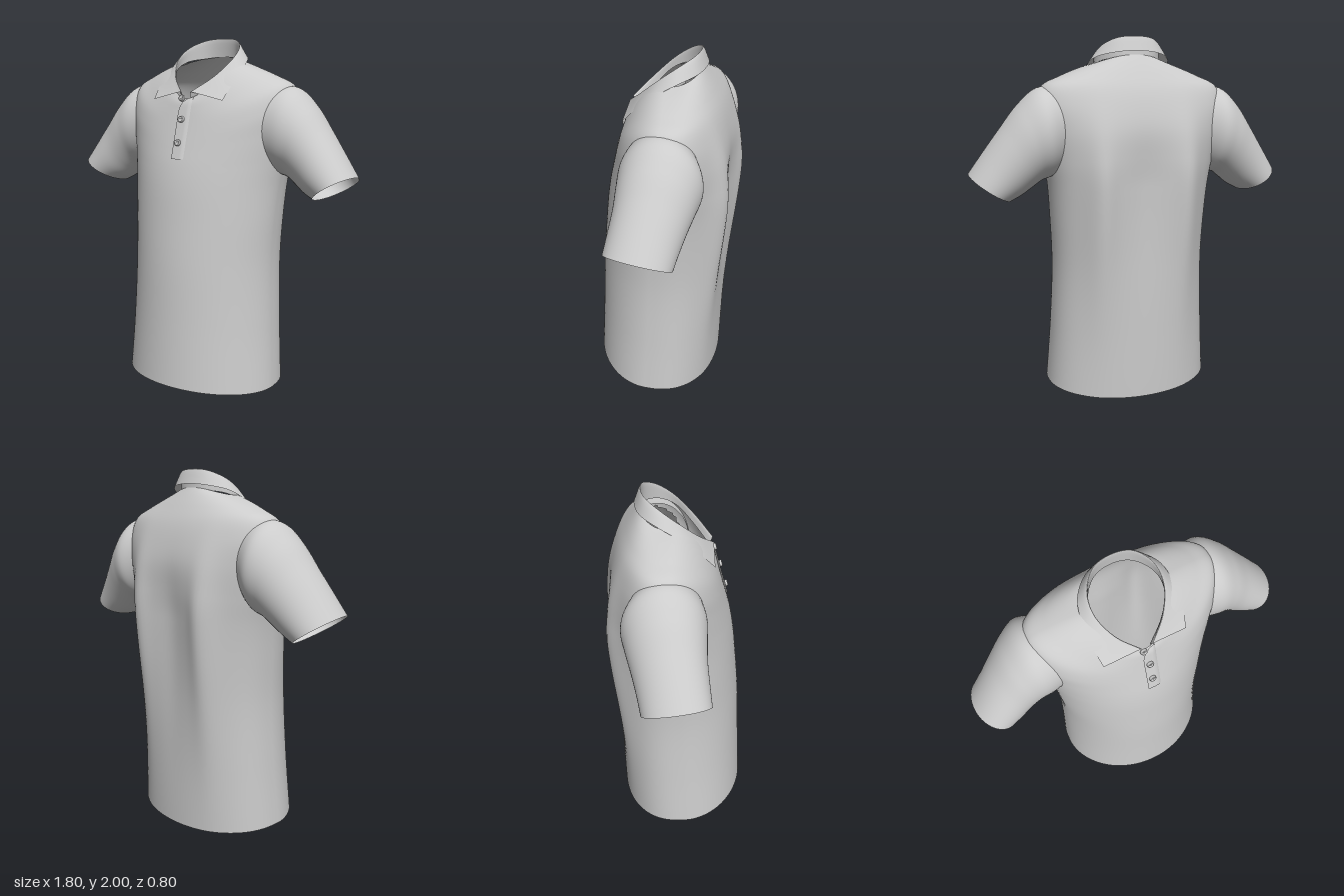
import * as THREE from 'three';

const cloth = new THREE.MeshStandardMaterial({ color: 0xcccccc, side: THREE.DoubleSide, roughness: 0.9 });
const V = (x, y, z) => new THREE.Vector3(x, y, z);
const bell = (d, w) => Math.exp(-(d * d) / (w * w));

// Smooth surface through rows of points; skip(centre) leaves out quads.
function loft(name, rows, closed, skip) {
  const n = rows[0].length, index = [];
  for (let i = 0; i < rows.length - 1; i++) {
    for (let j = 0; j < (closed ? n : n - 1); j++) {
      const k = (j + 1) % n;
      const centre = rows[i][j].clone().add(rows[i + 1][k]).multiplyScalar(0.5);
      if (skip && skip(centre)) continue;
      const a = i * n + j, b = i * n + k, c = b + n, d = a + n;
      index.push(a, b, c, a, c, d);
    }
  }
  const geo = new THREE.BufferGeometry().setFromPoints(rows.flat());
  geo.setIndex(index);
  geo.computeVertexNormals();
  const mesh = new THREE.Mesh(geo, cloth);
  mesh.name = name;
  return mesh;
}

// Torso rings, hem to neck: front y, z | side half width, y, z | back y, z
const RINGS = [
  [0.06, 0.405, 0.48, 0.03, 0.02, 0, -0.345],
  [0.4, 0.385, 0.455, 0.38, 0, 0.37, -0.355],
  [0.75, 0.365, 0.44, 0.74, -0.01, 0.74, -0.372],
  [1.0, 0.34, 0.45, 1.0, -0.02, 1.0, -0.385],
  [1.18, 0.318, 0.465, 1.19, -0.04, 1.2, -0.392],
  [1.3, 0.295, 0.487, 1.33, -0.06, 1.36, -0.392],
  [1.4, 0.268, 0.515, 1.5, -0.08, 1.5, -0.38],
  [1.48, 0.245, 0.53, 1.64, -0.09, 1.62, -0.348],
  [1.54, 0.228, 0.5, 1.735, -0.09, 1.72, -0.31],
  [1.6, 0.212, 0.4, 1.787, -0.08, 1.8, -0.265],
  [1.64, 0.2, 0.29, 1.83, -0.06, 1.86, -0.225],
  [1.665, 0.185, 0.195, 1.86, -0.04, 1.9, -0.195],
];
const front = new THREE.CatmullRomCurve3(RINGS.map(r => V(0, r[0], r[1])));
const side = new THREE.CatmullRomCurve3(RINGS.map(r => V(r[2], r[3], r[4])));
const back = new THREE.CatmullRomCurve3(RINGS.map(r => V(0, r[5], r[6])));

// Point on the torso: u from hem to neck, t the angle from the front towards +x.
function torsoPoint(u, t) {
  const s = side.getPoint(u), c = Math.cos(t);
  const end = (c >= 0 ? front : back).getPoint(u);
  const x = s.x * Math.sin(t);
  const y = THREE.MathUtils.lerp(end.y, s.y, Math.sin(t) ** 2);
  let z = s.z + (end.z - s.z) * Math.abs(c) ** (c >= 0 ? 1.08 : 0.78);
  // Draped folds: two ridges and a centre hollow on the back
  if (c < 0) {
    const drape = bell(y - 1.2, y > 1.2 ? 0.3 : 0.65);
    z += drape * (0.045 * bell(x, 0.13) - 0.045 * bell(Math.abs(x) - 0.25, 0.08));
  }
  return V(x, y, z);
}

function torso() {
  const rows = [];
  for (let i = 0; i <= 88; i++) {
    const row = [];
    for (let j = 0; j < 112; j++) row.push(torsoPoint(i / 88, j / 112 * Math.PI * 2));
    rows.push(row);
  }
  const armhole = p => Math.abs(p.x) > 0.3 && ((p.y - 1.48) / 0.18) ** 2 + ((p.z + 0.09) / 0.15) ** 2 < 1;
  return loft('torso', rows, true, armhole);
}

// Sleeve rings, shoulder to cuff: top x, y | bottom x, y | front z, back z
const SLEEVE = [
  [0.4, 1.735, 0.41, 1.28, 0.1, -0.27],
  [0.53, 1.725, 0.47, 1.25, 0.112, -0.315],
  [0.635, 1.635, 0.515, 1.235, 0.105, -0.3],
  [0.73, 1.51, 0.565, 1.2, 0.1, -0.275],
  [0.82, 1.385, 0.62, 1.16, 0.105, -0.252],
  [0.9, 1.27, 0.68, 1.13, 0.11, -0.235],
];
function sleeve(name, s) {
  const top = new THREE.CatmullRomCurve3(SLEEVE.map(r => V(r[0], r[1], r[4])));
  const bottom = new THREE.CatmullRomCurve3(SLEEVE.map(r => V(r[2], r[3], r[5])));
  const rows = [];
  for (let i = 0; i <= 36; i++) {
    const u = i / 36, T = top.getPoint(u), B = bottom.getPoint(u), row = [];
    for (let j = 0; j < 64; j++) {
      const a = s * j / 64 * Math.PI * 2, k = 0.5 + 0.5 * Math.cos(a), w = Math.sin(a);
      const z = (T.z + B.z) / 2 + w * (T.z - B.z) / 2;
      row.push(V(s * (B.x + (T.x - B.x) * k), B.y + (T.y - B.y) * k + 0.02 * u * w, z));
    }
    rows.push(row);
  }
  return loft(name, rows, true);
}

// Collar edges, centre back to left front; mirrored for the right half
const STAND = [[0, 1.895, -0.192], [0.1, 1.885, -0.17], [0.175, 1.865, -0.08], [0.185, 1.82, 0.01], [0.125, 1.735, 0.1], [0.025, 1.66, 0.175]];
const FOLD = [[0, 1.998, -0.185], [0.1, 1.988, -0.165], [0.17, 1.945, -0.09], [0.183, 1.88, 0], [0.13, 1.785, 0.105], [0.03, 1.7, 0.192]];
const LEAF = [[0, 1.92, -0.22], [0.125, 1.91, -0.195], [0.215, 1.882, -0.11], [0.243, 1.825, -0.005], [0.243, 1.745, 0.095], [0.228, 1.658, 0.178]];
function collar() {
  const edges = [STAND, FOLD, LEAF].map(e => new THREE.CatmullRomCurve3([
    ...e.slice(1).reverse().map(p => V(-p[0], p[1], p[2])), ...e.map(p => V(...p)),
  ]));
  const rows = [];
  for (let i = 0; i <= 80; i++) {
    const [a, b, c] = edges.map(e => e.getPoint(i / 80));
    const rim = b.clone().lerp(c, 0.12);
    rim.y = b.y - 0.003;
    rows.push(new THREE.CatmullRomCurve3([a, b, rim, c]).getPoints(15));
  }
  return loft('collar', rows, false);
}

// Overlapping button strip down the chest
function placket() {
  const rows = [];
  for (let i = 0; i <= 24; i++) {
    const u = THREE.MathUtils.lerp(5.4, 11, i / 24) / 11, row = [];
    const bend = 0.045 * Math.max(0, (i - 14) / 10) ** 2;
    for (let j = 0; j <= 6; j++) {
      const x = -0.03 + 0.075 * j / 6 + bend * (1 - j / 6);
      const p = torsoPoint(u, Math.asin(x / side.getPoint(u).x));
      p.z += j === 6 ? 0 : 0.007;
      row.push(p);
    }
    rows.push(row);
  }
  return loft('placket', rows, false);
}

// Round button with a raised rim and four holes
function button(x, y, z) {
  const g = new THREE.Group();
  g.name = 'button';
  const profile = [[0, 0.005], [0.01, 0.005], [0.012, 0.008], [0.016, 0.008], [0.018, 0.004], [0.018, -0.006]];
  const disc = new THREE.Mesh(new THREE.LatheGeometry(profile.map(p => new THREE.Vector2(...p)).reverse(), 24), cloth);
  disc.name = 'buttonDisc';
  g.add(disc);
  for (let i = 0; i < 4; i++) {
    const a = Math.PI / 4 + i * Math.PI / 2;
    const eye = new THREE.Mesh(new THREE.TorusGeometry(0.0022, 0.0007, 6, 10), cloth);
    eye.name = 'buttonEye';
    eye.rotation.x = Math.PI / 2;
    eye.position.set(0.005 * Math.cos(a), 0.0052, 0.005 * Math.sin(a));
    g.add(eye);
  }
  g.rotation.x = Math.PI / 2 - 0.28;
  g.position.set(x, y, z);
  return g;
}

export function createModel() {
  const shirt = new THREE.Group();
  shirt.name = 'poloShirt';
  shirt.add(torso(), sleeve('leftSleeve', 1), sleeve('rightSleeve', -1), collar(), placket());
  shirt.add(button(0, 1.43, 0.272), button(0, 1.555, 0.237), button(-0.02, 1.668, 0.2));
  return shirt;
}
